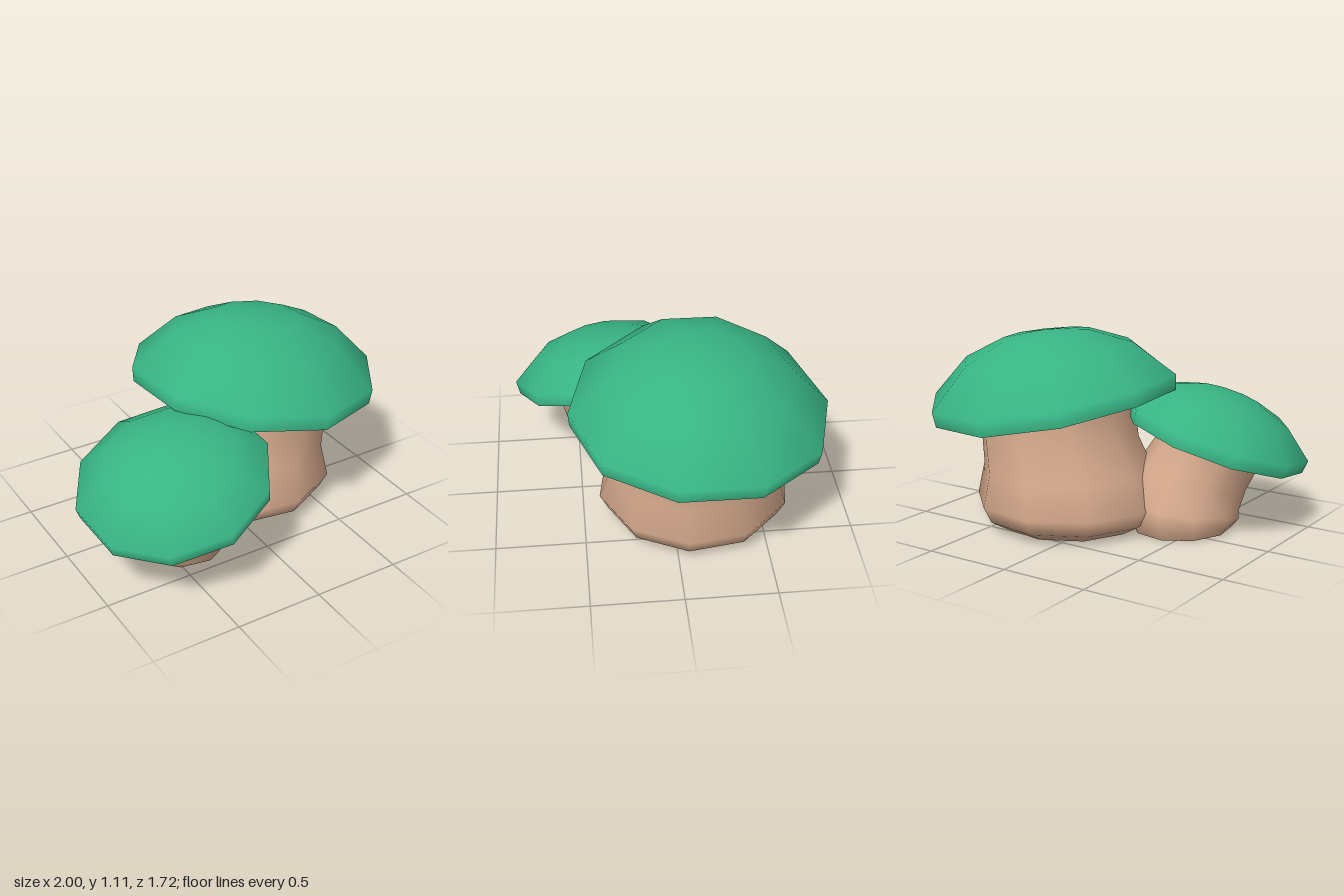
import * as THREE from 'three';
import { mergeVertices } from 'three/addons/utils/BufferGeometryUtils.js';

const SIDES = 10;

const material = (name, color, side = THREE.FrontSide) => {
  const m = new THREE.MeshStandardMaterial({ color, side });
  m.name = name;
  return m;
};

// Ten-sided turned surface with smooth normals; rule moves every vertex
function turned(name, profile, mat, phase, rule) {
  const points = profile.map(([r, y]) => new THREE.Vector2(r, y));
  const lathe = new THREE.LatheGeometry(points, SIDES, phase);
  lathe.deleteAttribute('uv');
  lathe.deleteAttribute('normal');
  const geo = mergeVertices(lathe, 1e-4);
  const pos = geo.attributes.position;
  const v = new THREE.Vector3();
  for (let i = 0; i < pos.count; i++) {
    v.fromBufferAttribute(pos, i);
    rule(v);
    pos.setXYZ(i, v.x, v.y, v.z);
  }
  geo.computeVertexNormals();
  const mesh = new THREE.Mesh(geo, mat);
  mesh.name = name;
  return mesh;
}

// Hollow bulging stem: rings are [radius, y, centre x, centre z].
// Rings are oval by depth and lean gradually from level at the ground.
function makeStem(name, rings, { depth, lean, phase }, mat) {
  const follow = (v) => {
    const [, y, cx, cz] = rings.find((ring) => Math.abs(ring[1] - v.y) < 1e-4);
    const amount = Math.min(1, y / 0.3);
    v.z *= depth;
    v.y += amount * (lean[0] * v.x + lean[1] * v.z);
    v.x += cx;
    v.z += cz;
  };
  return turned(name, rings, mat, phase, follow);
}

// Tilted domed cap with a short rim and a slightly recessed underside
function makeCap(name, { radius, rim, height, centre, up, phase, bend }, capMat, gillMat) {
  const warp = (v) => { v.y += bend * (v.x * v.x - v.z * v.z); };
  const low = radius * 0.985;
  const dome = [
    [low, 0], [radius, rim],
    [radius * 0.69, rim + height * 0.63],
    [radius * 0.36, rim + height * 0.92],
    [0, rim + height],
  ];
  const hollow = [[0, 0.005], [low * 0.6, 0.005], [low * 0.93, 0.025], [low, 0]];
  const group = new THREE.Group();
  group.name = name;
  group.add(turned(name + 'Dome', dome, capMat, phase, warp));
  group.add(turned(name + 'Underside', hollow, gillMat, phase, warp));
  group.position.set(...centre);
  group.quaternion.setFromUnitVectors(
    new THREE.Vector3(0, 1, 0), new THREE.Vector3(...up).normalize());
  return group;
}

export function createModel() {
  const green = material('capGreen', 0x38b484);
  const tan = material('stemTan', 0xd4a88b, THREE.DoubleSide);
  const brown = material('undersideBrown', 0x50332f, THREE.DoubleSide);

  const model = new THREE.Group();
  model.name = 'mushroomPair';

  // Large mushroom
  model.add(makeStem('largeStem', [
    [0.40, 0, 0.195, -0.135],
    [0.505, 0.06, 0.195, -0.135],
    [0.55, 0.15, 0.194, -0.135],
    [0.49, 0.33, 0.216, -0.14],
    [0.455, 0.50, 0.273, -0.14],
    [0.445, 0.66, 0.288, -0.14],
    [0.435, 0.78, 0.295, -0.14],
  ], { depth: 1, lean: [0, 0], phase: 0.157 }, tan));
  model.add(makeCap('largeCap', {
    radius: 0.715, rim: 0.085, height: 0.335, centre: [0.298, 0.685, -0.147],
    up: [0.112, 1, -0.05], phase: 0.05, bend: 0.055,
  }, green, brown));

  // Small mushroom leaning outwards, its base merging into the large stem
  model.add(makeStem('smallStem', [
    [0.278, 0, -0.385, 0.14],
    [0.31, 0.06, -0.383, 0.143],
    [0.313, 0.14, -0.38, 0.145],
    [0.294, 0.28, -0.395, 0.235],
    [0.282, 0.42, -0.458, 0.30],
    [0.265, 0.56, -0.50, 0.33],
  ], { depth: 1.11, lean: [0.28, -0.17], phase: 0.157 }, tan));
  model.add(makeCap('smallCap', {
    radius: 0.54, rim: 0.075, height: 0.215, centre: [-0.48, 0.475, 0.315],
    up: [-0.28, 1, 0.17], phase: 0.065, bend: 0,
  }, green, brown));

  return model;
}
